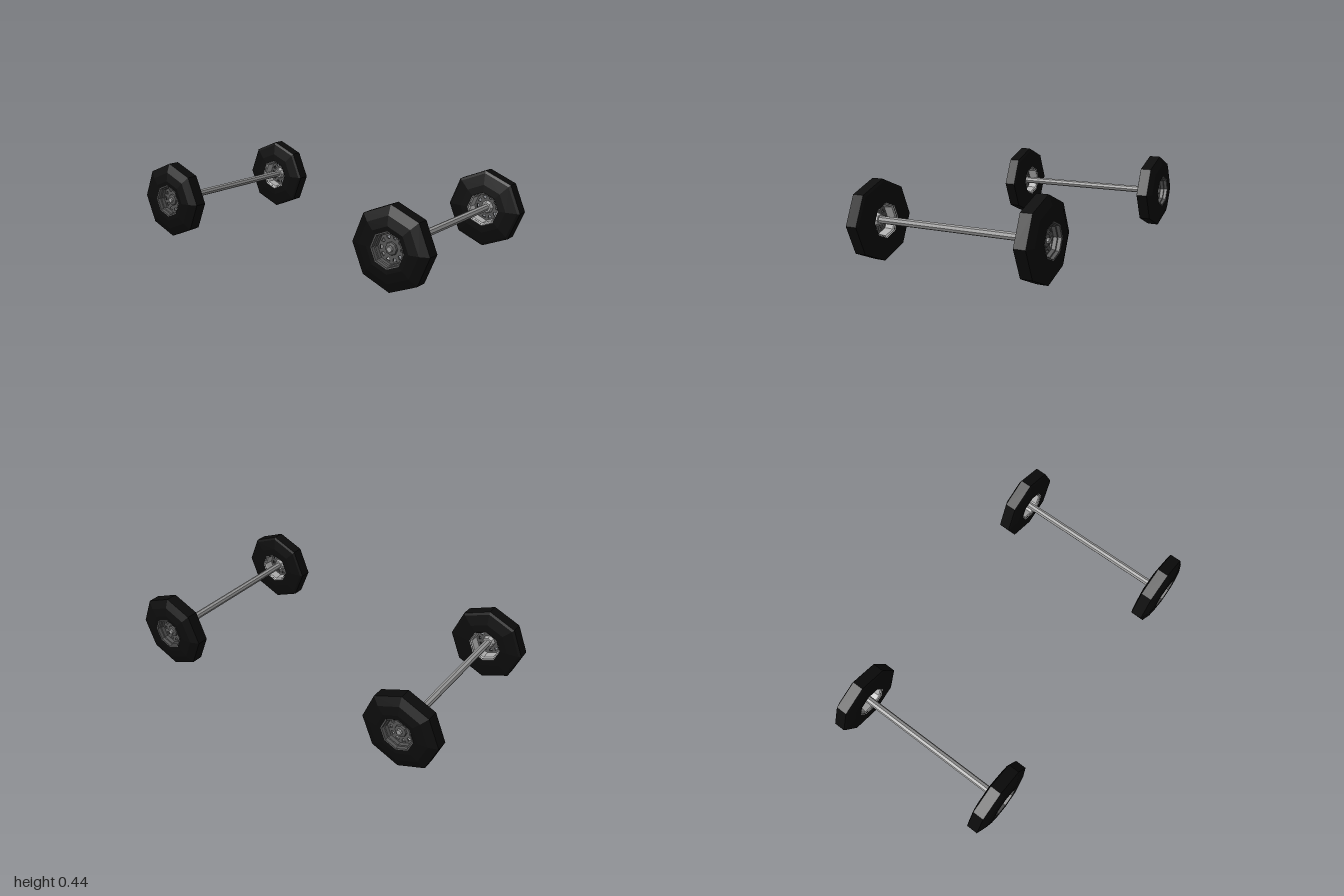
import * as THREE from 'three';

const mat = (color, side = THREE.FrontSide) =>
  new THREE.MeshStandardMaterial({ color, flatShading: true, side });

const rubber = mat(0x0b0b0b);
const darkMetal = mat(0x555555, THREE.DoubleSide);
const lightMetal = mat(0xb0b0b0, THREE.DoubleSide);
const axleMetal = mat(0x999999);

const RADIUS = 0.22;

function part(name, geometry, material) {
  const mesh = new THREE.Mesh(geometry, material);
  mesh.name = name;
  return mesh;
}

// Eight-sided turned part; each point is [radius, offset along the axle]
const turned = (points) =>
  new THREE.LatheGeometry(points.map(([r, y]) => new THREE.Vector2(r, y)), 8);

// Octagonal wheel plate with a ring of ten wedge-shaped openings
function plateGeometry() {
  const at = (r, a) => new THREE.Vector2(r * Math.cos(a), r * Math.sin(a));
  const shape = new THREE.Shape(
    Array.from({ length: 8 }, (_, i) => at(0.084, (i * Math.PI) / 4)));
  for (let i = 0; i < 10; i++) {
    const a = ((i + 0.5) * Math.PI) / 5;
    shape.holes.push(new THREE.Path(
      [at(0.05, a - 0.1), at(0.066, a - 0.19), at(0.066, a + 0.19), at(0.05, a + 0.1)]));
  }
  return new THREE.ExtrudeGeometry(shape, { depth: 0.008, bevelEnabled: false })
    .rotateX(-Math.PI / 2);
}

// Wheel built along +y, with its outer face at the top
function createWheel(name) {
  const wheel = new THREE.Group();
  wheel.name = name;

  wheel.add(part('tire', turned([
    [0.09, -0.052], [0.1, -0.0555], [0.14, -0.0535], [0.205, -0.043], [RADIUS, -0.037],
    [RADIUS, 0.028], [0.17, 0.0475], [0.12, 0.0555], [0.095, 0.0545], [0.09, 0.048],
    [0.09, -0.052],
  ]), rubber));

  // Rim barrel, stepped on the outside and plain on the inside
  wheel.add(part('outerRim', turned([
    [0.095, 0.055], [0.088, 0.054], [0.086, 0.036], [0.08, 0.034], [0.078, 0.012],
  ]), darkMetal));
  wheel.add(part('innerRim', turned([
    [0.08, 0.004], [0.084, -0.045], [0.095, -0.0555],
  ]), lightMetal));

  const plate = part('wheelPlate', plateGeometry(), darkMetal);
  plate.position.y = 0.006;
  wheel.add(plate);

  // Outer hub with a small cap, and the bearing behind the plate
  wheel.add(part('hub', turned([
    [0.036, 0.012], [0.032, 0.022], [0.022, 0.025], [0.018, 0.025], [0, 0.025],
  ]), darkMetal));
  wheel.add(part('hubCap', turned([
    [0.016, 0.024], [0.014, 0.036], [0, 0.036],
  ]), axleMetal));
  wheel.add(part('bearing', turned([
    [0, -0.016], [0.03, -0.016], [0.038, 0.007],
  ]), lightMetal));
  return wheel;
}

// Axle bar with a wheel at each end
function createAxle(name, z, track) {
  const axle = new THREE.Group();
  axle.name = name;
  const bar = part('axleBar', new THREE.CylinderGeometry(0.021, 0.021, track * 2, 8), axleMetal);
  bar.rotation.z = Math.PI / 2;
  axle.add(bar);
  for (const side of [1, -1]) {
    const wheel = createWheel(side > 0 ? 'leftWheel' : 'rightWheel');
    wheel.position.x = side * track;
    wheel.rotation.z = (-side * Math.PI) / 2;
    axle.add(wheel);
  }
  axle.position.set(0, RADIUS, z);
  return axle;
}

export function createModel() {
  const model = new THREE.Group();
  model.name = 'wheelsAndAxles';
  model.add(createAxle('frontAxle', 0.78, 0.4925));
  model.add(createAxle('rearAxle', -0.78, 0.4755));
  return model;
}
